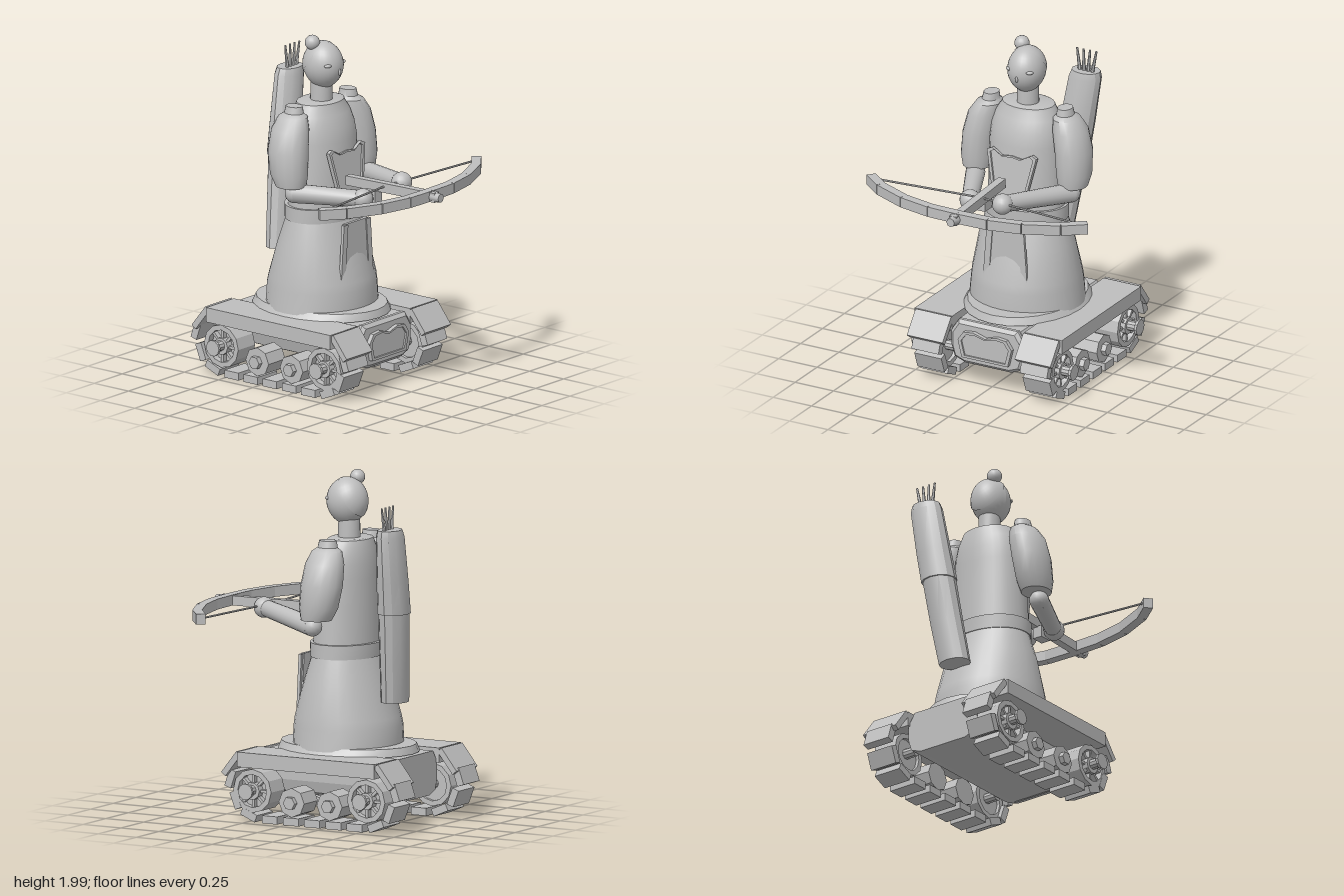
import * as THREE from 'three';
import { toCreasedNormals } from 'three/addons/utils/BufferGeometryUtils.js';

const grey = new THREE.MeshStandardMaterial({ color: 0xbebebe });
grey.name = 'plain grey';
const V = (x, y, z) => new THREE.Vector3(x, y, z);

function add(parent, name, geo, x = 0, y = 0, z = 0) {
  const m = new THREE.Mesh(geo, grey);
  m.name = name;
  m.position.set(x, y, z);
  parent.add(m);
  return m;
}

// Capped stack of ellipses, top first: [y, centreX, centreZ, radiusX, radiusZ]
function loft(sections, sides = 32, crease = 0.6) {
  const last = sections.length - 1;
  const g = new THREE.CylinderGeometry(1, 1, 1, sides, last);
  const p = g.attributes.position;
  for (let i = 0; i < p.count; i++) {
    const [y, cx, cz, rx, rz] = sections[Math.round((0.5 - p.getY(i)) * last)];
    p.setXYZ(i, cx + p.getX(i) * rx, y, cz + p.getZ(i) * rz);
  }
  return toCreasedNormals(g, crease);
}

// Tapered round bar from a to b
function rod(parent, name, a, b, ra, rb = ra, sides = 16) {
  const d = b.clone().sub(a);
  const g = toCreasedNormals(new THREE.CylinderGeometry(rb, ra, d.length(), sides), 0.8);
  const m = add(parent, name, g, ...a.clone().add(b).multiplyScalar(0.5));
  m.quaternion.setFromUnitVectors(V(0, 1, 0), d.normalize());
  return m;
}

// Square bar from a to b, w wide and h high
function bar(parent, name, a, b, w, h) {
  const m = add(parent, name, new THREE.BoxGeometry(w, h, a.distanceTo(b)), ...a.clone().add(b).multiplyScalar(0.5));
  m.lookAt(b);
  return m;
}

const outline = pts => new THREE.Shape(pts.map(p => new THREE.Vector2(...p)));
const mirror = half => [...half, ...half.filter(p => p[0] > 0).reverse().map(([x, y]) => [-x, y])];
function plate(pts, depth, hole) {
  const s = outline(pts);
  if (hole) s.holes.push(outline(hole));
  return new THREE.ExtrudeGeometry(s, { depth, bevelEnabled: false });
}

// Rounded wheel disc lying on the x axis
const disc = (r, w, n) => toCreasedNormals(new THREE.CylinderGeometry(r, r, w, n).rotateZ(Math.PI / 2), 0.5);
function wheelRim(r, inner, w) {
  const s = new THREE.Shape().absarc(0, 0, r, 0, Math.PI * 2);
  s.holes.push(new THREE.Path().absarc(0, 0, inner, 0, Math.PI * 2, true));
  return new THREE.ExtrudeGeometry(s, { depth: w, bevelEnabled: false, curveSegments: 6 })
    .translate(0, 0, -w / 2).rotateY(Math.PI / 2);
}

function addTrack(root, s) {
  const t = new THREE.Group();
  t.name = s > 0 ? 'leftTrack' : 'rightTrack';
  root.add(t);
  add(t, 'fender', new THREE.BoxGeometry(0.245, 0.085, 0.905), s * 0.357, 0.37, -0.155);
  for (const [z, tilt] of [[0.345, 0.9], [-0.66, -0.9]])
    add(t, 'fenderFlap', new THREE.BoxGeometry(0.232, 0.035, 0.16), s * 0.351, 0.34, z).rotation.x = tilt;
  // Driving wheels with spokes and hub pins
  for (const z of [0.22, -0.53]) {
    add(t, 'wheelRim', wheelRim(0.125, 0.095, 0.15), s * 0.365, 0.19, z);
    add(t, 'wheelDisc', disc(0.1, 0.09, 12), s * 0.355, 0.19, z);
    for (let i = 0; i < 4; i++)
      add(t, 'spoke', new THREE.BoxGeometry(0.03, 0.195, 0.016), s * 0.415, 0.19, z).rotation.x = i * Math.PI / 4;
    add(t, 'hub', disc(0.05, 0.05, 10), s * 0.42, 0.19, z);
    add(t, 'axle', disc(0.03, 0.28, 10), s * 0.375, 0.195, z);
    add(t, 'hubCap', disc(0.047, 0.016, 10), s * 0.51, 0.195, z);
  }
  // Road wheels
  for (const z of [-0.03, -0.28]) {
    add(t, 'roadWheel', disc(0.084, 0.15, 8), s * 0.35, 0.14, z);
    add(t, 'roadWheelHub', disc(0.038, 0.04, 6), s * 0.435, 0.14, z);
  }
  // Track pads: flat run, then the rising ends
  const pads = [0.105, -0.035, -0.175, -0.315, -0.455].map(z => [z, 0.033, 0]);
  for (const [z, y, a] of [[0.243, 0.052, 0.4], [0.33, 0.13, 1.2], [0.365, 0.25, 1.9]])
    pads.push([z, y, -a], [-0.35 - z, y, a]);
  for (const [z, y, a] of pads)
    add(t, 'trackPad', new THREE.BoxGeometry(0.176, 0.044, 0.102), s * 0.353, y, z).rotation.x = a;
}

function addArm(root, s, hand) {
  const arm = new THREE.Group();
  arm.name = s > 0 ? 'leftArm' : 'rightArm';
  root.add(arm);
  add(arm, 'sleeve', loft([
    [1.63, s * 0.24, -0.16, 0.042, 0.052], [1.59, s * 0.242, -0.16, 0.05, 0.06],
    [1.57, s * 0.25, -0.16, 0.075, 0.09], [1.5, s * 0.275, -0.16, 0.1, 0.115],
    [1.38, s * 0.3, -0.155, 0.105, 0.125], [1.25, s * 0.31, -0.14, 0.1, 0.115],
    [1.18, s * 0.31, -0.125, 0.085, 0.09]], 16));
  rod(arm, 'forearm', V(s * 0.31, 1.14, -0.1), hand, 0.056, 0.048);
  add(arm, 'elbow', new THREE.SphereGeometry(0.056, 16, 10), s * 0.31, 1.14, -0.1);
  add(arm, 'hand', new THREE.SphereGeometry(0.06, 16, 12), ...hand);
}

export function createModel() {
  const root = new THREE.Group();
  root.name = 'trackedArcher';

  // Tracked base
  const hull = mirror([[0.16, 0.15], [0.225, 0.175], [0.245, 0.24], [0.245, 0.33], [0.2, 0.4]]);
  add(root, 'hull', plate(hull, 0.87), 0, 0, -0.59);
  add(root, 'hullNose', new THREE.ExtrudeGeometry(outline(hull.map(([x, y]) => [x * 0.9, 0.28 + (y - 0.28) * 0.88])),
    { depth: 0.02, bevelSize: 0.02, bevelThickness: 0.02, bevelSegments: 1 }), 0, 0, 0.275);
  const badge = mirror([[0, 0.335], [0.075, 0.358], [0.14, 0.35], [0.175, 0.3], [0.15, 0.195]].reverse());
  add(root, 'noseBadge', plate(badge, 0.02), 0, 0, 0.31);
  add(root, 'noseBadgeRim', plate(badge, 0.03, badge.map(([x, y]) => [x * 0.88, 0.275 + (y - 0.275) * 0.82])), 0, 0, 0.31);
  for (const s of [1, -1]) addTrack(root, s);

  // Robe, belt and torso
  add(root, 'basePlate', loft([[0.45, 0, -0.155, 0.32, 0.405], [0.405, 0, -0.155, 0.35, 0.42]], 24));
  add(root, 'skirt', loft([
    [0.96, 0, -0.145, 0.24, 0.182], [0.8, 0, -0.147, 0.285, 0.235], [0.6, 0, -0.15, 0.32, 0.295],
    [0.55, 0, -0.152, 0.325, 0.305], [0.43, 0, -0.152, 0.338, 0.308]]));
  add(root, 'belt', loft([[1.027, 0, -0.145, 0.25, 0.197], [0.945, 0, -0.145, 0.25, 0.193]]));
  add(root, 'torso', loft([
    [1.62, 0, -0.165, 0.138, 0.108], [1.615, 0, -0.165, 0.158, 0.118], [1.6, 0, -0.165, 0.165, 0.122],
    [1.55, 0, -0.158, 0.195, 0.14], [1.48, 0, -0.15, 0.215, 0.157], [1.4, 0, -0.143, 0.222, 0.167],
    [1.02, 0, -0.143, 0.235, 0.175]]));

  // Chest plate and hanging front panel, each with a raised border
  const chest = mirror([[0.1, 1.08], [0.16, 1.36], [0.13, 1.375], [0.065, 1.34], [0, 1.35]]
    .map(([x, y]) => [x, y - 1.08]));
  const panel = mirror([[0, 0.645], [0.06, 0.625], [0.13, 0.59], [0.1, 0.945]]);
  const shrink = (pts, cy) => pts.map(([x, y]) => [x * 0.87, cy + (y - cy) * 0.92]);
  for (const [name, pts, depth, hole] of [['chestPlate', chest, 0.012], ['chestBorder', chest, 0.024, shrink(chest, 0.15)]])
    add(root, name, plate(pts, depth, hole), 0, 1.08, 0.045).rotation.x = -0.13;
  add(root, 'frontPanel', plate(panel, 0.02), 0, 0, 0.08);
  for (const s of [1, -1])
    bar(root, 'panelBorder', V(s * 0.125, 0.61, 0.097), V(s * 0.1, 0.94, 0.097), 0.018, 0.038);

  // Neck, head and hair bun
  add(root, 'neck', loft([[1.73, 0, -0.157, 0.062, 0.062], [1.6, 0, -0.157, 0.064, 0.064]], 20));
  const skull = new THREE.SphereGeometry(1, 28, 20);
  const p = skull.attributes.position;
  for (let i = 0; i < p.count; i++) {
    const y = p.getY(i), k = y < 0 ? 1 - 0.12 * y * y : 1;
    p.setXYZ(i, p.getX(i) * k * 0.108, y * 0.136, p.getZ(i) * k * 0.121);
  }
  skull.computeVertexNormals();
  add(root, 'head', skull, 0, 1.823, -0.143);
  const hair = add(root, 'hair', new THREE.SphereGeometry(1, 24, 8, 0, Math.PI * 2, 0, 1.25).rotateX(-0.95).scale(0.112, 0.139, 0.125), 0, 1.823, -0.143);
  hair.name = 'hair';
  add(root, 'hairBun', new THREE.SphereGeometry(0.043, 18, 12), -0.053, 1.957, -0.18);
  for (const s of [1, -1]) {
    const eye = add(root, 'eye', new THREE.SphereGeometry(1, 10, 8).scale(0.022, 0.01, 0.012), s * 0.07, 1.842, -0.053);
    eye.rotation.y = s * 0.6;
  }
  add(root, 'nose', new THREE.SphereGeometry(1, 8, 6).scale(0.009, 0.02, 0.012), 0, 1.798, -0.026);

  addArm(root, 1, V(0.115, 1.19, 0.335));
  addArm(root, -1, V(-0.14, 1.135, 0.26));

  // Crossbow
  const bow = new THREE.Group();
  bow.name = 'crossbow';
  root.add(bow);
  bar(bow, 'stock', V(-0.04, 1.192, 0.07), V(-0.006, 1.192, 0.69), 0.046, 0.055);
  rod(bow, 'stockTip', V(-0.006, 1.192, 0.655), V(-0.005, 1.192, 0.72), 0.032, 0.026, 8);
  add(bow, 'trigger', new THREE.BoxGeometry(0.06, 0.07, 0.08), -0.05, 1.135, 0.26);
  const limb = [[0, 0.632], [0.19, 0.627], [0.385, 0.585], [0.585, 0.495], [0.705, 0.4]];
  for (const s of [1, -1]) {
    for (let i = 0; i < 4; i++)
      bar(bow, 'limb', V(s * limb[i][0], 1.195, limb[i][1]), V(s * limb[i + 1][0], 1.195, limb[i + 1][1]), 0.055, 0.06);
    rod(bow, 'string', V(-0.03, 1.2, 0.335), V(s * 0.68, 1.2, 0.395), 0.006, 0.006, 6);
  }

  // Quiver leaning across the back, with arrow tips
  const quiver = new THREE.Group();
  quiver.name = 'quiver';
  root.add(quiver);
  add(quiver, 'quiverUpper', loft([
    [1.71, 0.168, -0.525, 0.088, 0.065], [1.67, 0.163, -0.525, 0.1, 0.074],
    [1.4, 0.12, -0.515, 0.106, 0.085], [1.22, 0.09, -0.505, 0.108, 0.092]], 12, 0.5));
  add(quiver, 'quiverLower', loft([
    [1.25, 0.094, -0.505, 0.1, 0.086], [0.95, 0.05, -0.485, 0.1, 0.08], [0.7, 0.01, -0.465, 0.098, 0.074]], 12, 0.5));
  for (let i = 0; i < 4; i++) {
    const x = 0.135 + i * 0.025;
    rod(quiver, 'arrow', V(x, 1.69, -0.515), V(x - 0.02 + i * 0.017, 1.84, -0.515), 0.012, 0.006, 6);
  }
  return root;
}
